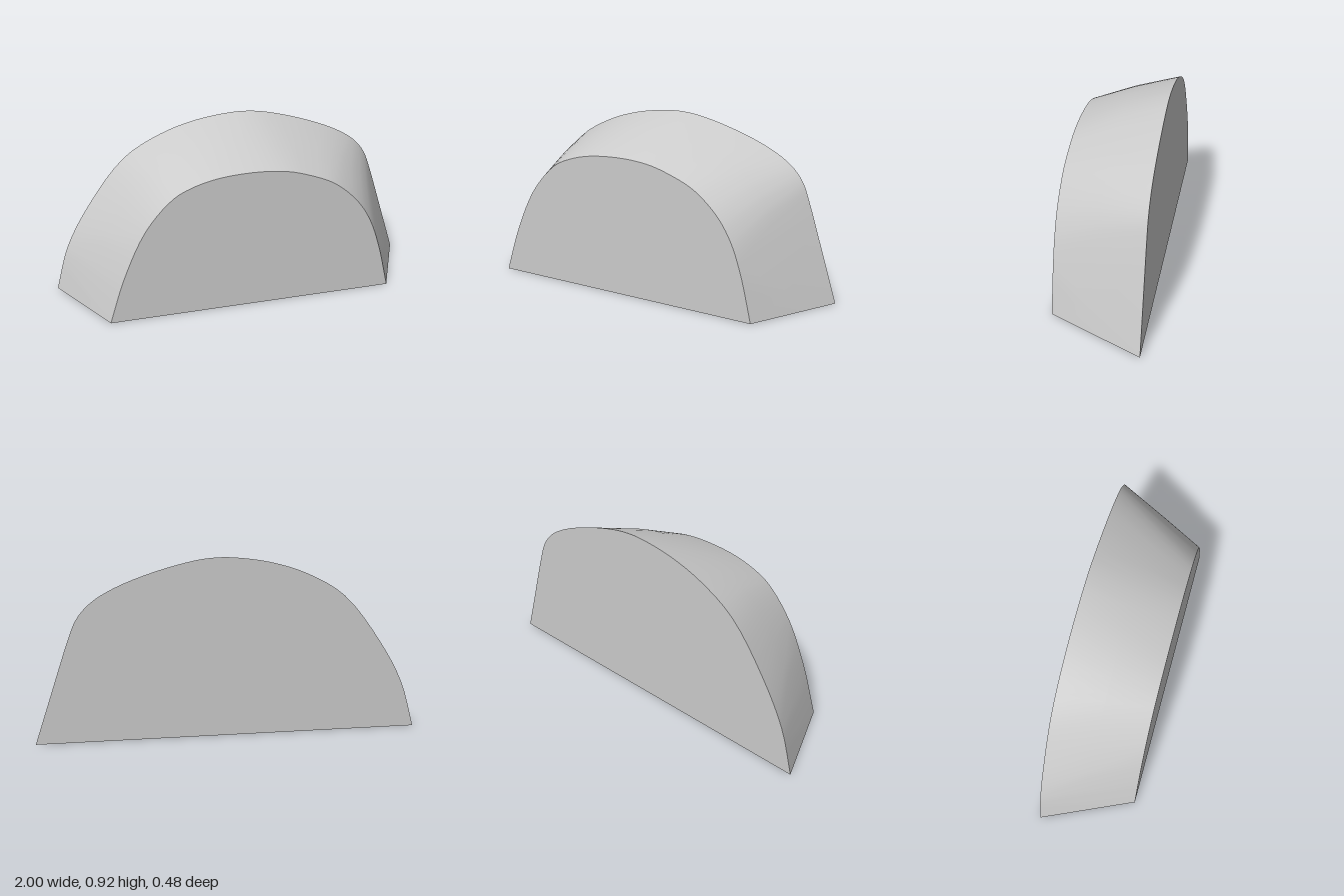
import * as THREE from 'three';
import { ConvexGeometry } from 'three/addons/geometries/ConvexGeometry.js';
import { toCreasedNormals } from 'three/addons/utils/BufferGeometryUtils.js';

const DEPTH = 0.48;
const BULGE = 0.012;

// Arch outlines, from right foot (-x) over the crown to left foot (+x)
const frontOutline = [
  [-0.785, 0], [-0.7, 0.25], [-0.58, 0.49], [-0.44, 0.64], [-0.34, 0.69], [-0.2, 0.725],
  [0, 0.737], [0.16, 0.723], [0.28, 0.69], [0.42, 0.63], [0.55, 0.52], [0.63, 0.4], [0.69, 0.24], [0.75, 0],
];
const backOutline = [
  [-1, 0], [-0.93, 0.24], [-0.8, 0.47], [-0.6, 0.715], [-0.4, 0.83], [-0.2, 0.892],
  [0, 0.918], [0.1, 0.917], [0.2, 0.903], [0.4, 0.85], [0.6, 0.773], [0.72, 0.7], [0.79, 0.62],
  [0.835, 0.51], [0.917, 0.255], [1, 0],
];

// Smooth outline as dense 2D points, feet kept on the ground
function smooth(outline) {
  const curve = new THREE.CatmullRomCurve3(outline.map(([x, y]) => new THREE.Vector3(x, y, 0)));
  return curve.getPoints(60);
}

// Point of the outline furthest along a direction
function furthest(points, dir) {
  return points.reduce((best, p) => (p.dot(dir) > best.dot(dir) ? p : best));
}

export function createModel() {
  const front = smooth(frontOutline);
  const back = smooth(backOutline);
  const hullPoints = [];
  front.forEach((p) => hullPoints.push(new THREE.Vector3(p.x, p.y, DEPTH / 2)));
  back.forEach((p) => hullPoints.push(new THREE.Vector3(p.x, p.y, -DEPTH / 2)));

  // Middle section: join points of equal slope, swollen slightly towards the crown
  const steps = 36;
  for (let i = 0; i <= steps; i++) {
    const a = (Math.PI * i) / steps;
    const dir = new THREE.Vector3(Math.cos(a), Math.sin(a), 0);
    const mid = furthest(front, dir).clone().lerp(furthest(back, dir), 0.5);
    if (mid.y > 0.05) mid.addScaledVector(dir, BULGE * Math.sin(a) ** 2);
    hullPoints.push(mid);
  }

  const geometry = toCreasedNormals(new ConvexGeometry(hullPoints), Math.PI / 7);
  const body = new THREE.Mesh(geometry, new THREE.MeshStandardMaterial({ color: 0xcccccc }));
  body.name = 'taperedArchBlock';

  const model = new THREE.Group();
  model.name = 'archBlock';
  model.add(body);
  return model;
}
